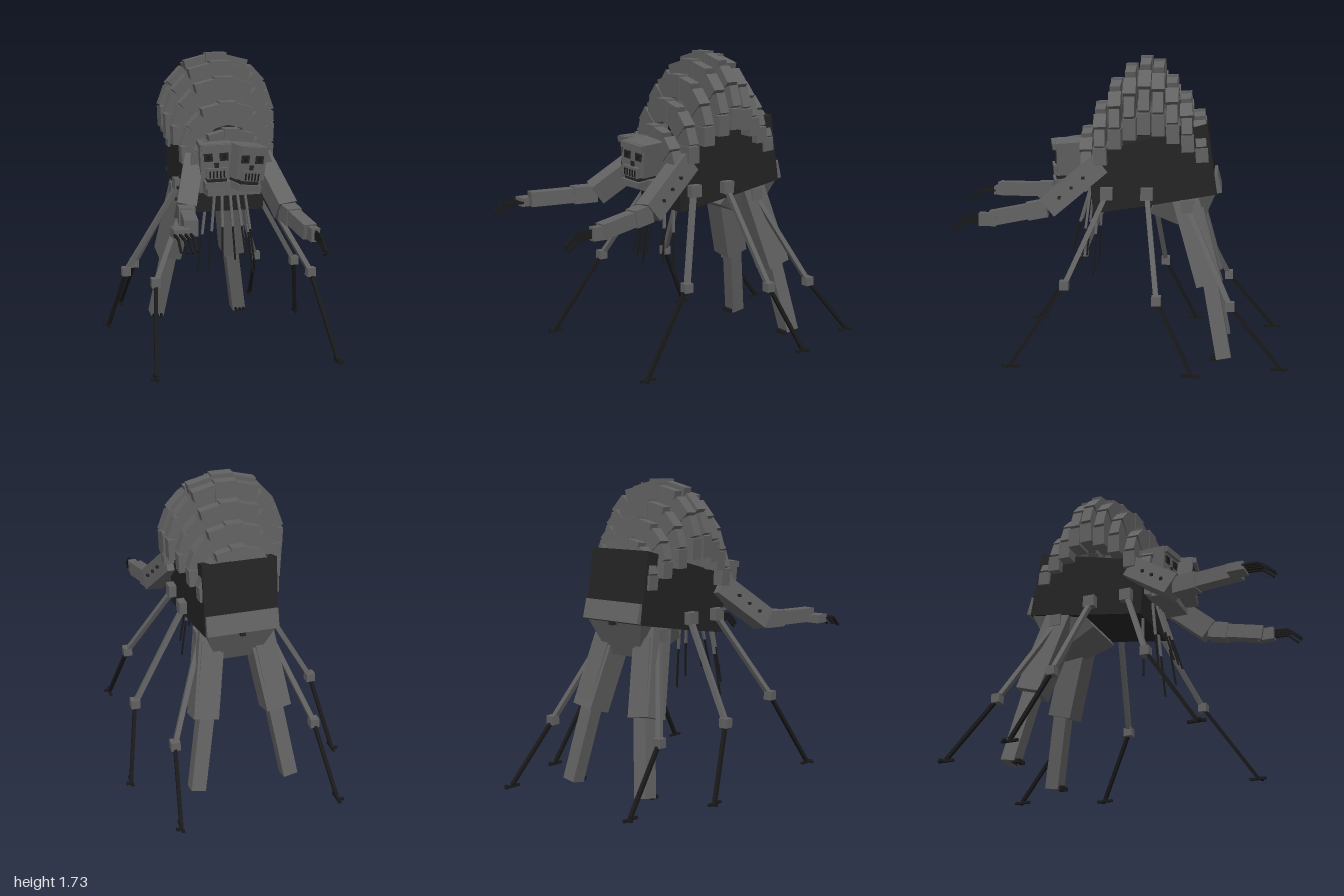
import * as THREE from 'three';

const grey = new THREE.MeshStandardMaterial({ color: 0x626262 });
grey.name = 'bone grey';
const dark = new THREE.MeshStandardMaterial({ color: 0x242424 });
dark.name = 'charcoal';
const black = new THREE.MeshStandardMaterial({ color: 0x191919 });
black.name = 'claw black';

const V = (p) => new THREE.Vector3(...p);

function box(parent, name, mat, size, pos, rot = [0, 0, 0]) {
  const m = new THREE.Mesh(new THREE.BoxGeometry(...size), mat);
  m.name = name;
  m.position.set(...pos);
  m.rotation.set(...rot);
  parent.add(m);
  return m;
}

// Box running from a to b; w is its sideways width, d its other thickness
function beam(parent, name, mat, a, b, w, d = w) {
  const dir = V(b).sub(V(a));
  const len = dir.length();
  dir.normalize();
  const side = new THREE.Vector3(1, 0, 0).addScaledVector(dir, -dir.x).normalize();
  const m = box(parent, name, mat, [w, len, d], [0, 0, 0]);
  m.quaternion.setFromRotationMatrix(
    new THREE.Matrix4().makeBasis(side, dir, new THREE.Vector3().crossVectors(side, dir)));
  m.position.copy(V(a)).add(V(b)).multiplyScalar(0.5);
  return m;
}

// Side outline in [z, y] points, given a width along x
function slab(parent, name, mat, pts, width) {
  const shape = new THREE.Shape(pts.map((p) => new THREE.Vector2(...p)));
  const geo = new THREE.ExtrudeGeometry(shape, { depth: width, bevelEnabled: false });
  geo.translate(0, 0, -width / 2).rotateY(-Math.PI / 2);
  const m = new THREE.Mesh(geo, mat);
  m.name = name;
  parent.add(m);
  return m;
}

// Half ring of radial blocks forming one back segment
function backRing(parent, z, top, r, tilt) {
  const ring = new THREE.Group();
  ring.name = 'backRing';
  ring.position.set(0, top - r, z);
  ring.rotation.x = tilt;
  box(ring, 'spineBlock', grey, [0.37 * r, 0.13, 0.066], [0, r - 0.065, 0]);
  [[22, 14], [49, 47], [72, 70], [95, 92]].forEach(([at, lean], i) => {
    for (const s of [-1, 1]) {
      const t = THREE.MathUtils.degToRad(at);
      const c = r - 0.07;
      box(ring, 'ringBlock', grey, [(i ? 0.35 : 0.46) * r, 0.13, i % 2 ? 0.072 : 0.06],
        [s * Math.sin(t) * c, Math.cos(t) * c, 0], [0, 0, -s * THREE.MathUtils.degToRad(lean)]);
    }
  });
  parent.add(ring);
}

// Blocky skull with plate eyes, nose and teeth
function head(parent, name, pos, rot) {
  const h = new THREE.Group();
  h.name = name;
  h.position.set(...pos);
  h.rotation.set(...rot);
  box(h, 'skull', grey, [0.18, 0.19, 0.17], [0, 0.025, -0.02]);
  box(h, 'brow', grey, [0.17, 0.035, 0.03], [0, 0.1, 0.07]);
  box(h, 'cheekBlock', grey, [0.12, 0.06, 0.03], [0, -0.045, 0.07]);
  box(h, 'jaw', grey, [0.14, 0.035, 0.15], [0, -0.115, 0.01]);
  box(h, 'mouthGap', dark, [0.11, 0.03, 0.14], [0, -0.085, 0]);
  for (const s of [-1, 1]) {
    box(h, 'eyeSocket', dark, [0.05, 0.045, 0.006], [s * 0.045, 0.045, 0.067]);
    box(h, 'eye', black, [0.02, 0.025, 0.006], [s * 0.045, 0.045, 0.071]);
  }
  box(h, 'nose', dark, [0.025, 0.03, 0.006], [0, -0.002, 0.068]);
  for (let i = -2; i <= 2; i++)
    box(h, 'toothGap', black, [0.008, 0.04, 0.005], [i * 0.02, -0.05, 0.087]);
  parent.add(h);
}

// Arm: upper arm, forearm, hand block and hooked fingers
function arm(parent, name, shoulder, elbow, wrist, hand, upright) {
  const g = new THREE.Group();
  g.name = name;
  beam(g, 'upperArm', grey, shoulder, elbow, 0.11, 0.13);
  beam(g, 'forearm', grey, elbow, wrist, 0.075, 0.085);
  const mid = V(elbow).lerp(V(wrist), 0.35).toArray();
  beam(g, 'forearmSleeve', grey, elbow, mid, 0.088, 0.1);
  box(g, 'hand', grey, upright ? [0.05, 0.075, 0.1] : [0.09, 0.05, 0.095], hand);
  for (let i = 0; i < 4; i++) {
    const o = (i - 1.5) * (upright ? 0.013 : 0.028);
    const at = (dx, dy, dz) => [hand[0] + (upright ? 0 : o) + dx,
      hand[1] + (upright ? o : 0) + dy, hand[2] + dz];
    const reach = i === 0 || i === 3 ? 0.13 : 0.15;
    beam(g, 'finger', black, at(0, 0, 0.04), at(0, -0.005, reach), 0.012);
    beam(g, 'claw', black, at(0, -0.005, reach), at(0, -0.06, reach + 0.06), 0.011);
  }
  for (let i = 0; i < 3; i++) {
    const p = V(shoulder).lerp(V(elbow), 0.3 + i * 0.22);
    const s = Math.sign(p.x);
    box(g, 'armStud', dark, [0.02, 0.016, 0.016], [p.x + s * 0.06, p.y, p.z]);
  }
  parent.add(g);
}

export function createModel() {
  const model = new THREE.Group();
  model.name = 'manyLeggedCreature';

  // Trunk
  slab(model, 'torso', dark,
    [[0.12, 0.83], [0.14, 1.06], [0.04, 1.2], [-0.53, 1.35], [-0.59, 0.95], [-0.2, 0.88]], 0.42);
  slab(model, 'chest', grey, [[0.17, 0.95], [0.19, 1.2], [0, 1.23], [0, 1.02]], 0.37);
  const pelvis = slab(model, 'pelvis', grey,
    [[-0.2, 0.83], [-0.36, 0.76], [-0.5, 0.75], [-0.58, 0.95], [-0.28, 0.95]], 0.4);
  const pos = pelvis.geometry.attributes.position;
  for (let i = 0; i < pos.count; i++)
    pos.setX(i, pos.getX(i) * THREE.MathUtils.mapLinear(pos.getY(i), 0.75, 0.95, 0.6, 1));
  pelvis.geometry.computeVertexNormals();
  box(model, 'pelvisBand', grey, [0.41, 0.11, 0.04], [0, 1.01, -0.585], [0.25, 0, 0]);
  box(model, 'tailKnob', dark, [0.03, 0.03, 0.04], [0, 0.95, -0.59]);

  // Arched back: [z, top height, radius, tilt]
  [[0.155, 1.32, 0.25, 0.05], [0.075, 1.465, 0.28, 0.04], [-0.01, 1.6, 0.31, 0.03],
    [-0.096, 1.685, 0.335, 0.02], [-0.177, 1.73, 0.345, 0], [-0.257, 1.71, 0.335, 0.02],
    [-0.337, 1.62, 0.3, 0.04], [-0.42, 1.525, 0.265, 0.06], [-0.5, 1.42, 0.23, 0.08],
  ].forEach((r) => backRing(model, ...r));

  // Twin heads and shared lower jaw
  head(model, 'rightHead', [-0.105, 1.13, 0.21], [0.05, -0.12, 0.05]);
  head(model, 'leftHead', [0.055, 1.12, 0.29], [0.05, 0.2, -0.12]);
  box(model, 'chinPlate', grey, [0.31, 0.07, 0.12], [-0.01, 0.985, 0.22]);

  // Arms
  arm(model, 'rightArm', [-0.2, 1.12, 0.08], [-0.32, 0.89, 0.38], [-0.385, 0.885, 0.78],
    [-0.44, 0.865, 0.775], false);
  arm(model, 'leftArm', [0.2, 1.12, 0.08], [0.265, 0.87, 0.38], [0.295, 0.81, 0.7],
    [0.305, 0.805, 0.715], true);

  // Jointed insect legs: hip, knee, foot
  const legs = [
    ['frontLeg', [0.22, 0.95, 0.04], [0.465, 0.465, 0.255], [0.53, 0.015, 0.555], 0.05],
    ['middleLeg', [0.22, 0.95, -0.19], [0.54, 0.405, -0.265], [0.62, 0.015, -0.46], -0.05],
    ['rearLeg', [0.19, 0.88, -0.42], [0.41, 0.35, -0.67], [0.455, 0.015, -0.95], -0.05],
  ];
  for (const s of [-1, 1]) {
    for (const [name, ...pts] of legs) {
      const [hip, knee, foot] = pts.slice(0, 3).map(([x, y, z]) => [s * x, y, z]);
      const g = new THREE.Group();
      g.name = name;
      box(g, 'hipJoint', grey, [0.07, 0.07, 0.07], hip);
      beam(g, 'upperLeg', grey, hip, knee, 0.028);
      box(g, 'kneeJoint', grey, [0.052, 0.052, 0.052], knee);
      beam(g, 'lowerLeg', black, knee, foot, 0.02);
      box(g, 'foot', black, [0.016, 0.014, 0.1], [foot[0], 0.008, foot[2]]);
      box(g, 'sideToe', black, [0.04, 0.014, 0.016], [foot[0] + s * 0.012, 0.008, foot[2] + pts[3] * 0.4]);
      model.add(g);
    }

    // Heavy hind leg
    const hind = new THREE.Group();
    hind.name = 'hindLeg';
    beam(hind, 'thigh', grey, [s * 0.135, 0.92, -0.41], [s * 0.215, 0.43, -0.555], 0.145, 0.15);
    beam(hind, 'thighPlate', grey, [s * 0.15, 0.86, -0.48], [s * 0.215, 0.45, -0.59], 0.11, 0.07);
    beam(hind, 'shin', grey, [s * 0.2, 0.46, -0.555], [s * 0.278, 0.01, -0.64], 0.085, 0.085);
    for (const t of [-0.025, 0, 0.025])
      box(hind, 'toe', black, [0.012, 0.02, 0.05], [s * 0.278 + t, 0.01, -0.59]);
    model.add(hind);
  }

  // Thin feelers hanging below the chest
  const rows = [[0.13, 0.43, 0.1], [0.2, 0.49, 0.15], [0.27, 0.55, 0.16]];
  [[-0.14, 1], [-0.075, 2], [0, 2], [0.065, 2], [0.14, 1], [-0.19, 0], [0.15, 0]].forEach(([x, r]) => {
    const [z, y, z0] = rows[r];
    const top = [x * 0.65, 0.94, z0];
    const end = [x, y + 0.02, z];
    const mid = V(top).lerp(V(end), 0.5).toArray();
    beam(model, 'feelerRoot', grey, top, mid, 0.014);
    beam(model, 'feelerTip', black, mid, end, 0.009);
  });

  return model;
}
